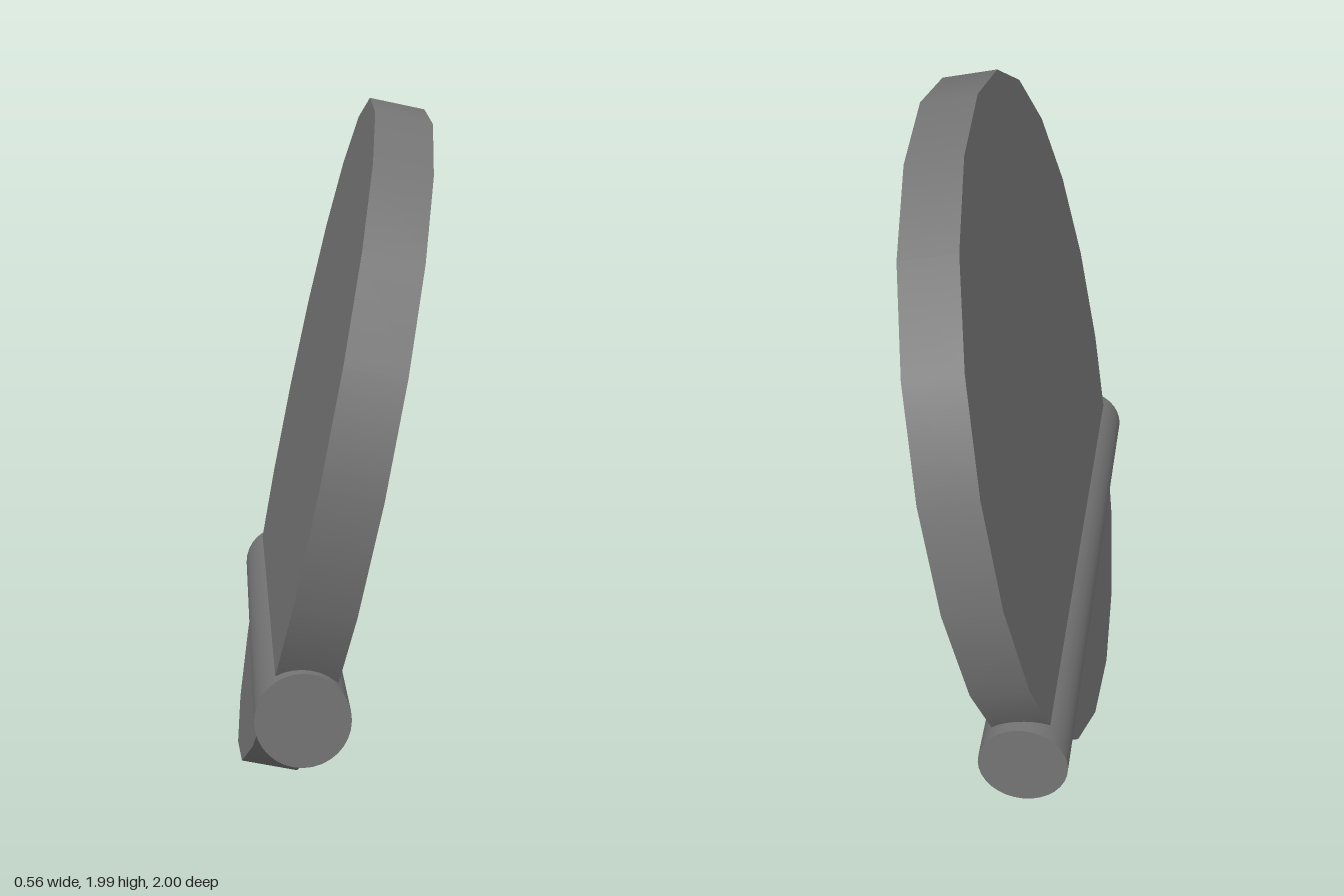
import * as THREE from 'three';

export function createModel() {
  const model = new THREE.Group();
  const darkGrey = new THREE.MeshStandardMaterial({ color: 0x747474 });
  const tilt = THREE.MathUtils.degToRad(11.6);

  // Twenty-sided plate, leaning towards +x at the top
  const plate = new THREE.Mesh(new THREE.CylinderGeometry(1, 1, 0.164, 20), darkGrey);
  plate.name = 'plate';
  plate.rotation.z = -Math.PI / 2 - tilt;
  plate.position.y = Math.cos(tilt) + 0.082 * Math.sin(tilt);
  model.add(plate);

  // Round axle running front to back through the lower part of the plate
  const axle = new THREE.Mesh(new THREE.CylinderGeometry(0.126, 0.126, 1.786, 32), darkGrey);
  axle.name = 'axle';
  axle.rotation.x = Math.PI / 2;
  axle.position.set(-0.117, 0.391, -0.002);
  model.add(axle);

  return model;
}
